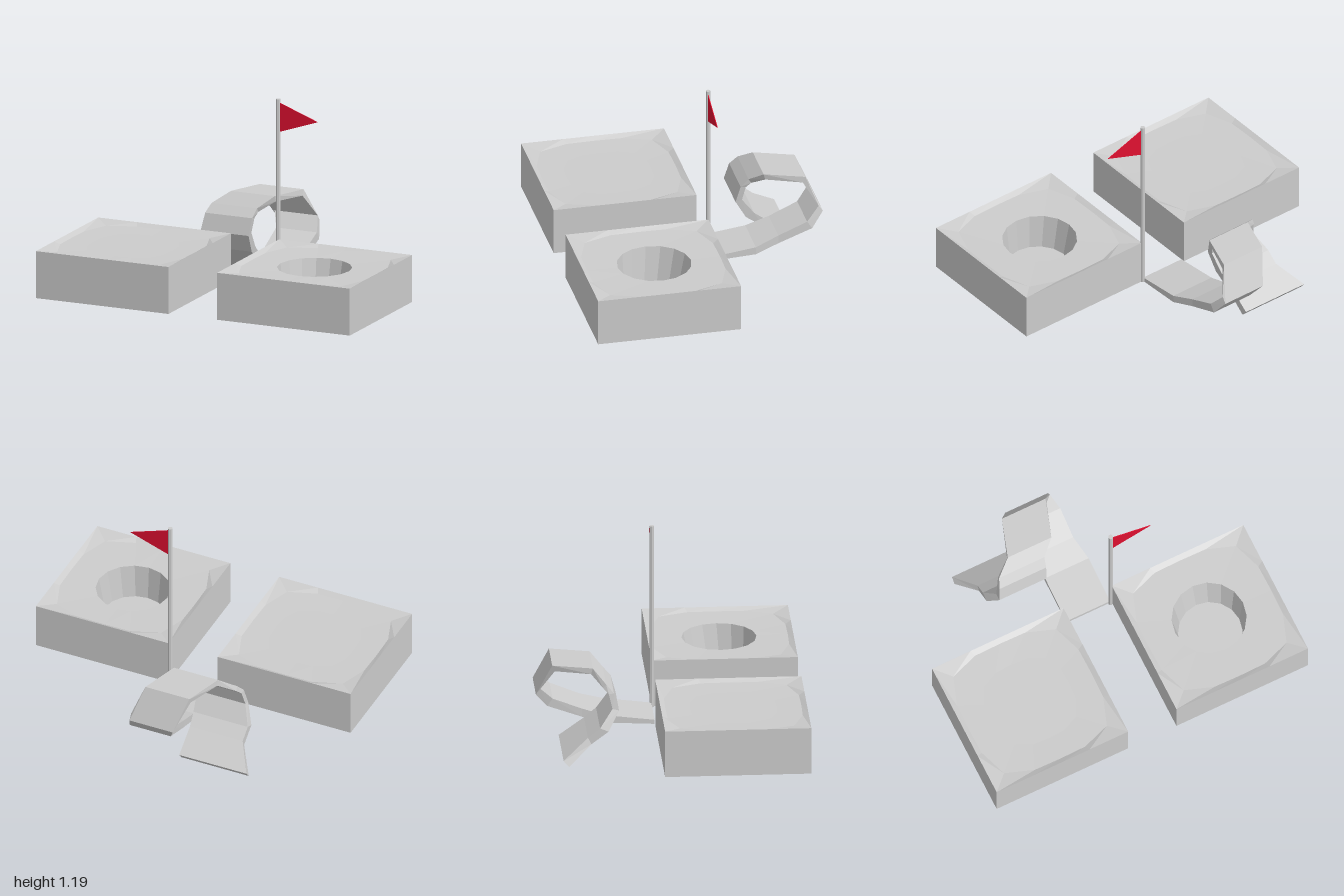
import * as THREE from 'three';

// Closed solid through a list of equal-length rings, with both ends capped.
function loft(rings) {
  const pos = [];
  const tri = (a, b, c) => pos.push(...a, ...b, ...c);
  const n = rings[0].length;
  const centre = r => [0, 1, 2].map(k => r.reduce((s, p) => s + p[k], 0) / n);
  const first = rings[0], last = rings[rings.length - 1];
  const c0 = centre(first), c1 = centre(last);
  for (let i = 0; i < n; i++) {
    const j = (i + 1) % n;
    for (let k = 0; k < rings.length - 1; k++) {
      const p = rings[k], q = rings[k + 1];
      tri(p[i], q[i], p[j]);
      tri(p[j], q[i], q[j]);
    }
    tri(c0, first[i], first[j]);
    tri(c1, last[j], last[i]);
  }
  const g = new THREE.BufferGeometry();
  g.setAttribute('position', new THREE.Float32BufferAttribute(pos, 3));
  g.computeVertexNormals();
  return g;
}

// Horizontal ring: power 2 is a circle, 4 a rounded square, Infinity a square.
function ring(cx, cz, radius, y, power) {
  return Array.from({ length: 16 }, (_, i) => {
    const a = i / 16 * Math.PI * 2, c = Math.cos(a), s = Math.sin(a);
    const u = Math.abs(c), v = Math.abs(s);
    const d = power === Infinity ? Math.max(u, v) : (u ** power + v ** power) ** (1 / power);
    return [cx + radius * c / d, y, cz + radius * s / d];
  });
}

export function createModel() {
  const group = new THREE.Group();
  const grey = new THREE.MeshStandardMaterial({ color: 0xcccccc, flatShading: true });
  grey.name = 'light grey';
  const red = new THREE.MeshStandardMaterial({ color: 0xe01030, side: THREE.DoubleSide });
  red.name = 'flag red';
  const add = (name, geometry, material) => {
    const mesh = new THREE.Mesh(geometry, material);
    mesh.name = name;
    group.add(mesh);
    return mesh;
  };

  // Two square blocks with shallow dished tops
  const block = cx => [
    ring(cx, 0.345, 0.4225, 0.08, Infinity),
    ring(cx, 0.345, 0.4225, 0.36, Infinity),
    ring(cx, 0.345, 0.393, 0.343, 4),
  ];
  add('plainBlock', loft([...block(-0.5775), ring(-0.5775, 0.345, 0.25, 0.338, 3)]), grey);
  // The second block has a tapered cup sunk into it
  add('holeBlock', loft([...block(0.5775),
    ring(0.575, 0.34, 0.217, 0.338, 2),
    ring(0.575, 0.355, 0.187, 0.13, 2)]), grey);

  // Looping ramp sections: left x, right x, outer z, outer y, inner z, inner y
  const sections = [
    [-0.135, 0.145, -0.08, 0.08, -0.08, 0.105],
    [-0.135, 0.145, -0.36, 0.095, -0.36, 0.14],
    [-0.135, 0.115, -0.5, 0.135, -0.5, 0.185],
    [-0.145, 0.115, -0.7, 0.21, -0.67, 0.255],
    [-0.19, 0.085, -0.77, 0.3, -0.745, 0.335],
    [-0.255, 0.025, -0.68, 0.5, -0.665, 0.465],
    [-0.33, -0.05, -0.45, 0.505, -0.46, 0.47],
    [-0.42, -0.13, -0.38, 0.44, -0.395, 0.415],
    [-0.44, -0.14, -0.335, 0.39, -0.365, 0.385],
    [-0.455, -0.15, -0.307, 0.29, -0.345, 0.3],
    [-0.505, -0.16, -0.37, 0.18, -0.42, 0.2],
    [-0.505, -0.17, -0.47, 0.105, -0.49, 0.145],
    [-0.597, -0.17, -0.605, 0.002, -0.637, 0.04],
  ];
  add('loopRamp', loft(sections.map(([l, r, zo, yo, zi, yi]) =>
    [[l, yo, zo], [r, yo, zo], [r, yi, zi], [l, yi, zi]])), grey);

  // Flagpole and triangular flag
  const pole = add('flagPole', new THREE.CylinderGeometry(0.014, 0.014, 1.115, 8), grey);
  pole.position.set(0.147, 0.6375, -0.077);
  const pennant = new THREE.Shape([
    new THREE.Vector2(0.155, 1.0),
    new THREE.Vector2(0.4, 1.085),
    new THREE.Vector2(0.155, 1.175),
  ]);
  const flag = add('flag', new THREE.ExtrudeGeometry(pennant, { depth: 0.004, bevelEnabled: false }), red);
  flag.position.z = -0.077;

  return group;
}
